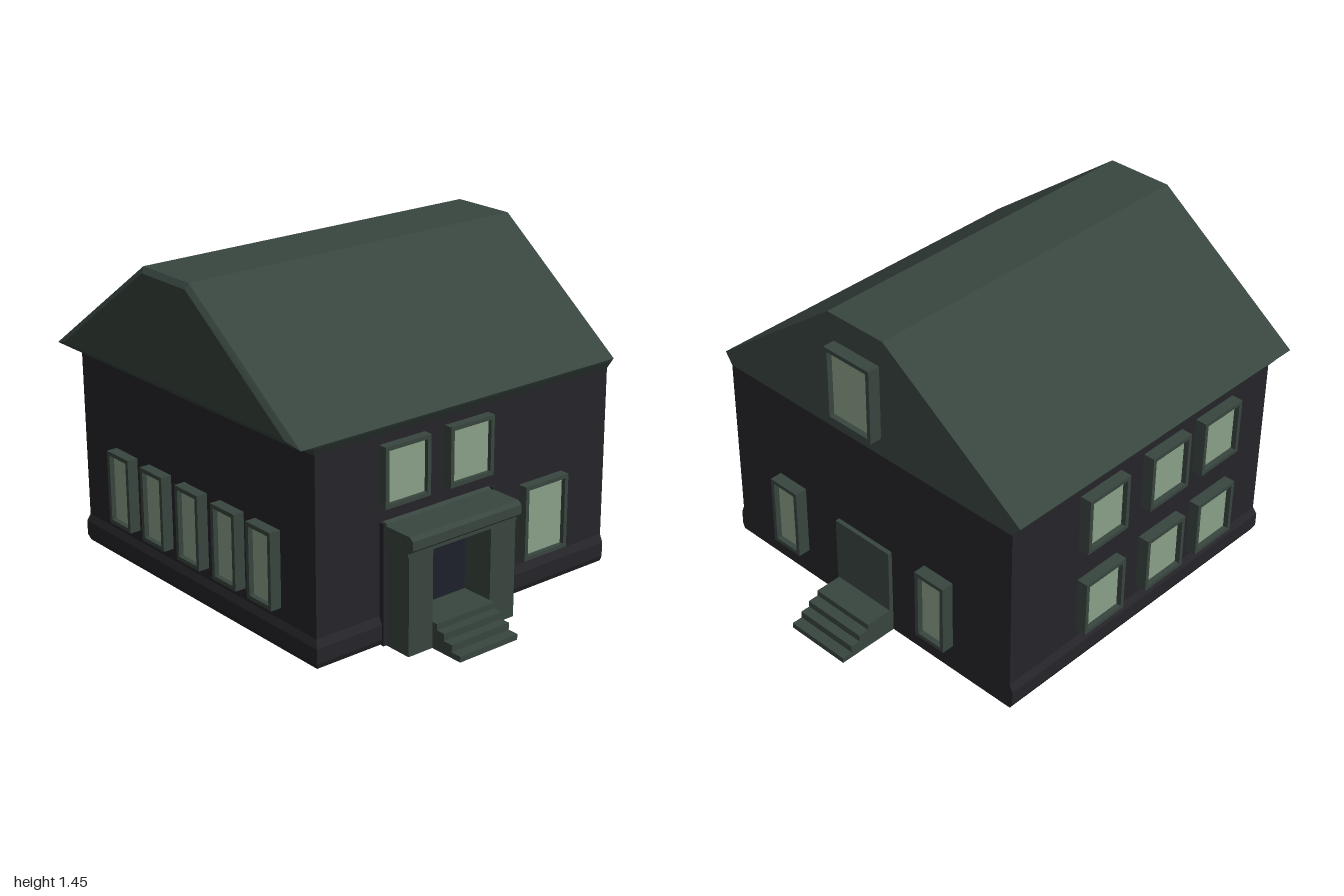
import * as THREE from 'three';

const mat = (color, side = THREE.FrontSide) => {
  const m = new THREE.MeshStandardMaterial({ side });
  m.color.set(color);
  return m;
};

// Skin between convex loops of [x, y, z] points, closed at both ends
function loft(loops) {
  const pos = [];
  const tri = (a, b, c) => pos.push(...a, ...b, ...c);
  const n = loops[0].length;
  for (let k = 0; k + 1 < loops.length; k++) {
    const a = loops[k], b = loops[k + 1];
    for (let i = 0; i < n; i++) {
      const j = (i + 1) % n;
      tri(a[i], a[j], b[j]);
      tri(a[i], b[j], b[i]);
    }
  }
  const first = loops[0], last = loops[loops.length - 1];
  for (let i = 1; i + 1 < n; i++) {
    tri(first[0], first[i + 1], first[i]);
    tri(last[0], last[i], last[i + 1]);
  }
  const g = new THREE.BufferGeometry();
  g.setAttribute('position', new THREE.Float32BufferAttribute(pos, 3));
  g.computeVertexNormals();
  return g;
}

export function createModel() {
  const house = new THREE.Group();
  house.name = 'house';
  const wall = mat(0x25252a);
  const trim = mat(0x38453f);
  const glass = mat(0x8aa088);
  const doorMat = mat(0x1e202b);

  const add = (name, geo, material, parent = house) => {
    const m = new THREE.Mesh(geo, material);
    m.name = name;
    parent.add(m);
    return m;
  };
  const box = (name, x0, x1, y0, y1, z0, z1, material, parent) => {
    const m = add(name, new THREE.BoxGeometry(x1 - x0, y1 - y0, z1 - z0), material, parent);
    m.position.set((x0 + x1) / 2, (y0 + y1) / 2, (z0 + z1) / 2);
    return m;
  };

  // Horizontal rectangle at height y; the back always stays at z = -0.71
  const BACK = -0.71;
  const rect = (y, left, right, front) =>
    [[left, y, front], [right, y, front], [right, y, BACK], [left, y, BACK]];

  // Walls with a slightly flared plinth
  add('walls', loft([
    rect(0, -0.95, 0.68, 0.872),
    rect(0.025, -0.963, 0.69, 0.88),
    rect(0.09, -0.963, 0.69, 0.88),
    rect(0.125, -0.948, 0.675, 0.87),
    rect(0.89, -0.948, 0.675, 0.87),
  ]), wall);

  // Cornice widening to the eaves
  add('cornice', loft([
    rect(0.89, -0.948, 0.675, 0.87),
    rect(0.93, -0.978, 0.703, 0.895),
    rect(0.942, -0.985, 0.71, 0.962),
  ]), trim);

  // Roof: flat-topped gable with a bevelled, slightly leaning front
  const outer = [[-0.988, 0.942], [0.712, 0.942], [0.05, 1.445], [-0.26, 1.445]];
  const inner = [[-0.91, 0.965], [0.635, 0.965], [0.045, 1.42], [-0.252, 1.42]];
  const lean = (y, z) => z + 0.045 * (y - 0.942);
  add('roof', loft([
    outer.map(([x, y]) => [x, y, BACK]),
    outer.map(([x, y]) => [x, y, lean(y, 0.962)]),
    inner.map(([x, y]) => [x, y, lean(y, 0.978)]),
  ]), trim);

  // Window: projecting frame with a recessed pane, facing +z before turning
  function addWindow(name, x, y, z, turn, w, h, depth) {
    const g = new THREE.Group();
    g.name = name;
    const rectPath = (P, hw, hh) => {
      const p = new P();
      p.moveTo(-hw, -hh);
      p.lineTo(hw, -hh);
      p.lineTo(hw, hh);
      p.lineTo(-hw, hh);
      p.closePath();
      return p;
    };
    const shape = rectPath(THREE.Shape, w / 2, h / 2);
    shape.holes.push(rectPath(THREE.Path, w / 2 - 0.018, h / 2 - 0.018));
    add('windowFrame', new THREE.ExtrudeGeometry(shape, { depth, bevelEnabled: false }), trim, g);
    box('windowPane', -w / 2 + 0.01, w / 2 - 0.01, -h / 2 + 0.01, h / 2 - 0.01, 0, depth * 0.55, glass, g);
    g.position.set(x, y, z);
    g.rotation.y = turn;
    house.add(g);
  }

  for (const x of [-0.625, -0.373, -0.117, 0.135, 0.372])
    addWindow('frontWindow', x, 0.345, 0.87, 0, 0.16, 0.335, 0.05);
  for (const z of [-0.2, 0.18, 0.51])
    for (const y of [0.3, 0.725])
      addWindow('rightSideWindow', -0.948, y, z, -Math.PI / 2, 0.24, 0.265, 0.052);
  for (const z of [0.095, 0.435])
    addWindow('upperSideWindow', 0.675, 0.725, z, Math.PI / 2, 0.235, 0.26, 0.04);
  addWindow('lowerSideWindow', 0.675, 0.322, -0.33, Math.PI / 2, 0.245, 0.335, 0.045);
  for (const x of [-0.55, 0.32])
    addWindow('backWindow', x, 0.295, BACK, Math.PI, 0.16, 0.335, 0.057);
  addWindow('atticWindow', -0.11, 1.15, BACK, Math.PI, 0.255, 0.345, 0.057);

  // Stairs running out along +x from the local origin
  function addStairs(name, reach, start, width) {
    const s = new THREE.Shape();
    const tops = [0.115, 0.088, 0.057, 0.025];
    s.moveTo(start, 0);
    s.lineTo(reach[3], 0);
    for (let i = 3; i >= 0; i--) {
      s.lineTo(reach[i], tops[i]);
      s.lineTo(i ? reach[i - 1] : start, tops[i]);
    }
    s.closePath();
    const geo = new THREE.ExtrudeGeometry(s, { depth: width, bevelEnabled: false });
    return add(name, geo.translate(0, 0, -width / 2), trim);
  }
  addStairs('porchSteps', [0.862, 0.905, 0.95, 1], 0.67, 0.31).position.z = 0.255;
  const backSteps = addStairs('backSteps', [0.855, 0.905, 0.95, 1], 0.7, 0.31);
  backSteps.rotation.y = Math.PI / 2;
  backSteps.position.x = -0.125;

  // Doors
  box('backDoor', -0.28, 0.035, 0, 0.42, BACK - 0.02, BACK + 0.02, trim);
  box('porchDoor', 0.66, 0.685, 0.1, 0.44, 0.09, 0.42, doorMat);

  // Porch side walls, lintel and moulded cap
  for (const [z0, z1] of [[-0.035, 0.1], [0.41, 0.535]])
    box('porchPillar', 0.66, 0.835, 0, 0.45, z0, z1, trim);
  for (const [z0, z1] of [[-0.05, -0.035], [0.535, 0.55]])
    box('porchEdge', 0.66, 0.7, 0, 0.53, z0, z1, wall);
  const cap = new THREE.Shape();
  [[0.66, 0.43], [0.835, 0.43], [0.835, 0.445], [0.862, 0.465], [0.862, 0.505], [0.845, 0.52],
    [0.69, 0.52], [0.66, 0.54]].forEach(([x, y], i) => (i ? cap.lineTo(x, y) : cap.moveTo(x, y)));
  cap.closePath();
  const capMesh = add('porchCap', new THREE.ExtrudeGeometry(cap, { depth: 0.58, bevelEnabled: false }), trim);
  capMesh.position.z = -0.04;

  return house;
}
